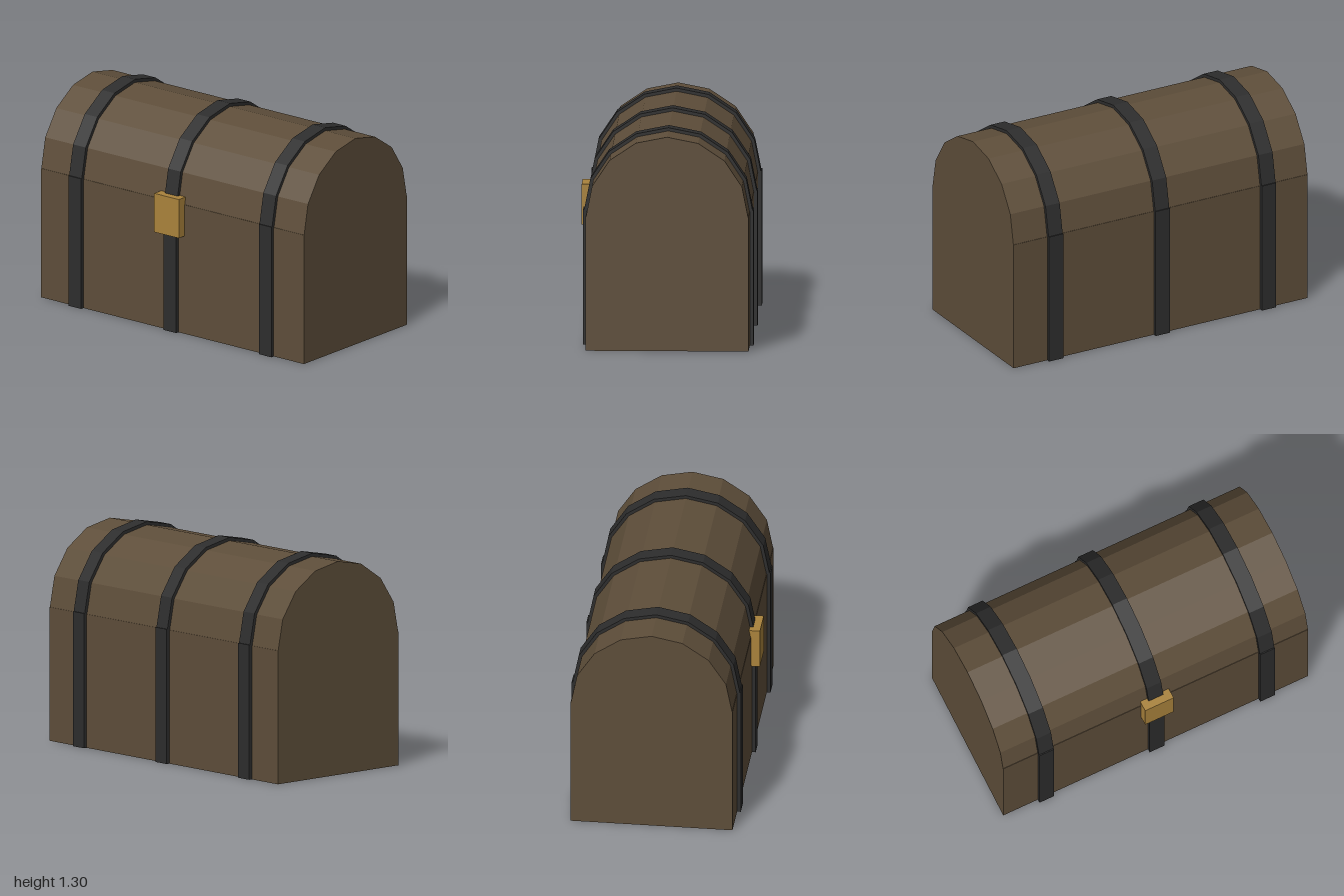
import * as THREE from 'three';

const CENTER_Z = -0.015; // the lock sticks out in front, so the chest sits slightly back
const LID_Y = 0.8;

function material(name, color) {
  const m = new THREE.MeshStandardMaterial({ color });
  m.name = name;
  return m;
}

// Points of an eight-sided half circle, from front to back, as [z, y]
function archPoints(radius) {
  return Array.from({ length: 9 }, (_, i) => {
    const a = (i / 8) * Math.PI;
    return new THREE.Vector2(radius * Math.cos(a), LID_Y + radius * Math.sin(a));
  });
}

// Extrude a side profile along x, centred on x = 0
function extrudeAcross(points, width) {
  const geometry = new THREE.ExtrudeGeometry(new THREE.Shape(points), { depth: width, bevelEnabled: false });
  return geometry.translate(0, 0, -width / 2).rotateY(Math.PI / 2);
}

export function createModel() {
  const wood = material('brown wood', 0x5e4e3a);
  const iron = material('dark iron', 0x2d2d2d);
  const brass = material('brass', 0xaa833c);

  const model = new THREE.Group();
  model.name = 'chest';
  const add = (parent, name, geometry, mat, x, y, z) => {
    const mesh = new THREE.Mesh(geometry, mat);
    mesh.name = name;
    mesh.position.set(x, y, z);
    parent.add(mesh);
  };

  // Wooden box with its faceted barrel lid
  const r = 0.4785;
  const profile = [...archPoints(r), new THREE.Vector2(-0.481, LID_Y), new THREE.Vector2(-0.481, 0),
    new THREE.Vector2(0.481, 0), new THREE.Vector2(0.481, LID_Y)];
  add(model, 'woodenBody', extrudeAcross(profile, 2), wood, 0, 0, CENTER_Z);

  // Iron straps: an arch over the lid and a straight leg on each side
  const strapWidth = 0.096;
  const archProfile = [...archPoints(0.498), ...archPoints(r - 0.01).reverse()];
  const archGeometry = extrudeAcross(archProfile, strapWidth);
  const legGeometry = new THREE.BoxGeometry(strapWidth, 0.807, 0.03);
  [-0.725, -0.002, 0.723].forEach((x, i) => {
    const strap = new THREE.Group();
    strap.name = ['rightStrap', 'middleStrap', 'leftStrap'][i];
    strap.position.set(x, 0, CENTER_Z);
    add(strap, 'strapArch', archGeometry, iron, 0, 0, 0);
    add(strap, 'frontLeg', legGeometry, iron, 0, 0.4035, 0.488);
    add(strap, 'backLeg', legGeometry, iron, 0, 0.4035, -0.488);
    model.add(strap);
  });

  // Brass lock plate
  add(model, 'lock', new THREE.BoxGeometry(0.187, 0.24, 0.08), brass, -0.002, 0.726, 0.479);

  return model;
}
